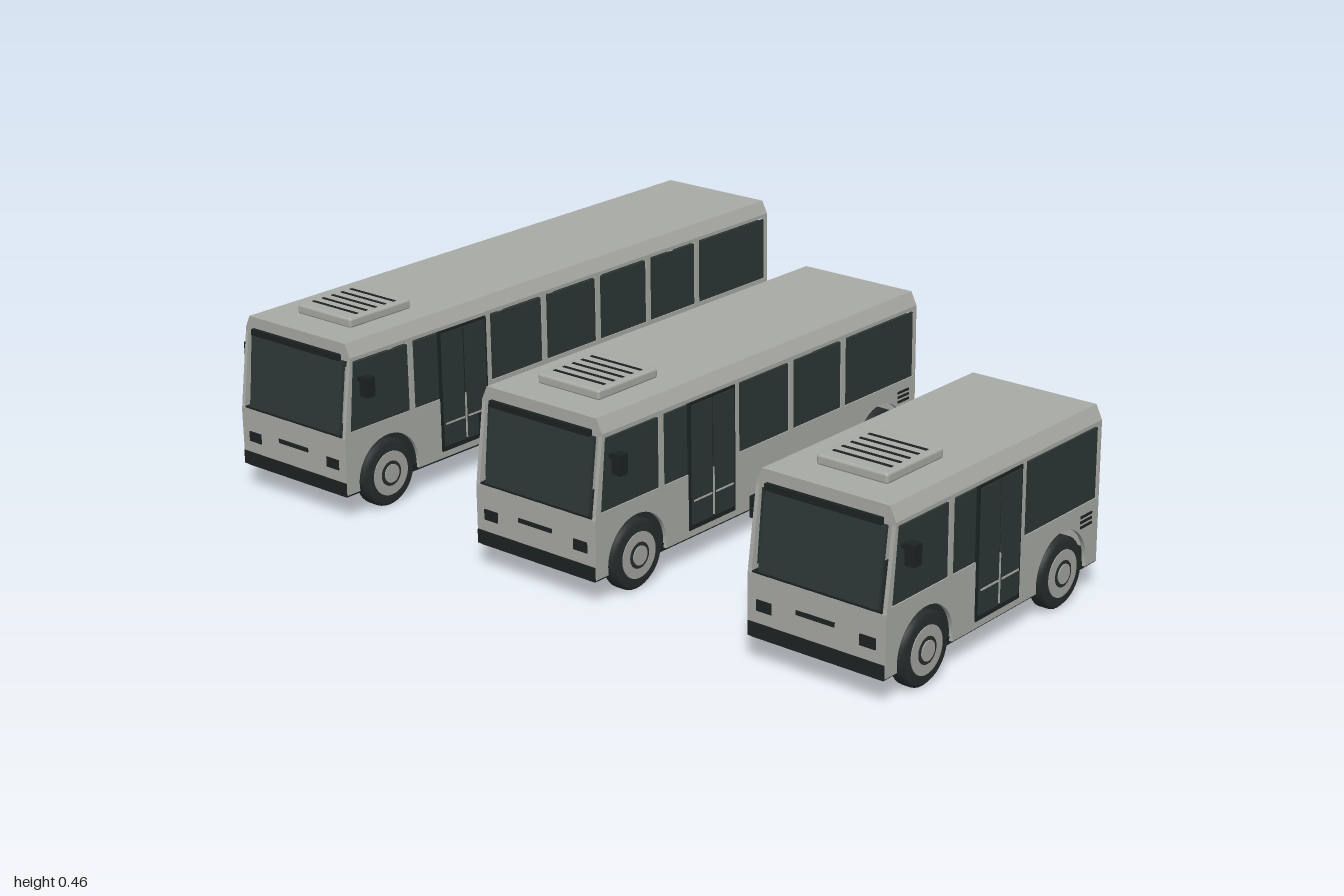
import * as THREE from 'three';
import { RoundedBoxGeometry } from 'three/addons/geometries/RoundedBoxGeometry.js';

const mat = (name, color, side = THREE.FrontSide) => {
  const m = new THREE.MeshStandardMaterial({ color, side });
  m.name = name;
  return m;
};

export function createModel() {
  const paint = mat('bodyGrey', 0xa8aaa5);
  const glass = mat('darkGlass', 0x2d3736);
  const black = mat('blackTrim', 0x1c2222);
  const tyreMat = mat('tyreRubber', 0x262c2c);
  const rimMat = mat('rimGrey', 0xa3a59f);

  const add = (parent, name, geo, material) => {
    const mesh = new THREE.Mesh(geo, material);
    mesh.name = name;
    parent.add(mesh);
    return mesh;
  };
  // Box given by its minimum and maximum on each axis
  const box = (parent, name, material, x0, x1, y0, y1, z0, z1) => {
    const mesh = add(parent, name, new THREE.BoxGeometry(x1 - x0, y1 - y0, z1 - z0), material);
    mesh.position.set((x0 + x1) / 2, (y0 + y1) / 2, (z0 + z1) / 2);
    return mesh;
  };
  // Outline in x,y extruded along z
  const plate = (parent, name, material, pts, z0, z1) => {
    const shape = new THREE.Shape(pts.map(p => new THREE.Vector2(...p)));
    const geo = new THREE.ExtrudeGeometry(shape, { depth: z1 - z0, bevelEnabled: false });
    geo.translate(0, 0, z0);
    return add(parent, name, geo, material);
  };
  const disc = (parent, name, material, r, z0, z1) => {
    const geo = new THREE.CylinderGeometry(r, r, z1 - z0, 32).rotateX(Math.PI / 2);
    geo.translate(0, 0, (z0 + z1) / 2);
    return add(parent, name, geo, material);
  };

  const WHEEL_Y = 0.083, FRONT = -0.785, AXLE = -0.648;

  function makeWheel(x, s) {
    const wheel = new THREE.Group();
    wheel.name = 'wheel';
    const profile = [[0.001, -0.02], [0.074, -0.02], [0.083, -0.012], [0.083, 0.012], [0.074, 0.02], [0.001, 0.02]];
    const tyre = new THREE.LatheGeometry(profile.map(p => new THREE.Vector2(...p)), 36);
    add(wheel, 'tyre', tyre.rotateX(Math.PI / 2), tyreMat);
    disc(wheel, 'rim', rimMat, 0.055, 0.015, 0.022);
    disc(wheel, 'rimRecess', tyreMat, 0.031, 0.02, 0.0235);
    disc(wheel, 'hubCap', rimMat, 0.023, 0.02, 0.026);
    wheel.position.set(x, WHEEL_Y, s * 0.163);
    if (s < 0) wheel.rotation.y = Math.PI;
    return wheel;
  }

  // Lower side panel with two wheel arches
  function sidePanel(end, rearAxle) {
    const bottom = 0.066, r = 0.098;
    const a = Math.asin((bottom - WHEEL_Y) / r), c = r * Math.cos(a);
    const s = new THREE.Shape();
    s.moveTo(FRONT, bottom);
    for (const x of [AXLE, rearAxle]) {
      s.lineTo(x - c, bottom);
      s.absarc(x, WHEEL_Y, r, Math.PI - a, a, true);
    }
    s.lineTo(end, bottom);
    s.lineTo(end, 0.219);
    s.lineTo(FRONT + 0.004, 0.219);
    s.lineTo(FRONT, 0.205);
    s.closePath();
    return new THREE.ExtrudeGeometry(s, { depth: 0.01, bevelEnabled: false, curveSegments: 24 });
  }

  function makeBus(name, end, pillars) {
    const bus = new THREE.Group();
    bus.name = name;
    const rearAxle = end - 0.142;

    // Floor, bumpers and end panels
    box(bus, 'floor', black, FRONT + 0.004, end - 0.004, 0.058, 0.076, -0.172, 0.172);
    box(bus, 'frontBumper', black, FRONT - 0.003, FRONT + 0.02, 0.063, 0.096, -0.178, 0.178);
    box(bus, 'rearBumper', black, end - 0.02, end + 0.002, 0.063, 0.096, -0.178, 0.178);
    box(bus, 'frontPanel', paint, FRONT, FRONT + 0.01, 0.09, 0.207, -0.172, 0.172);
    box(bus, 'rearPanel', paint, end - 0.012, end, 0.09, 0.212, -0.172, 0.172);
    box(bus, 'dashLedge', black, FRONT + 0.001, FRONT + 0.04, 0.205, 0.211, -0.168, 0.168);

    // Roof with chamfered long edges
    const roofPts = [[-0.18, 0.391], [0.18, 0.391], [0.18, 0.4], [0.164, 0.433], [-0.164, 0.433], [-0.18, 0.4]];
    const roof = new THREE.ExtrudeGeometry(
      new THREE.Shape(roofPts.map(p => new THREE.Vector2(...p))), { depth: end + 0.757, bevelEnabled: false });
    add(bus, 'roof', roof.rotateY(Math.PI / 2).translate(-0.757, 0, 0), paint);
    box(bus, 'frontRoofTrim', black, -0.767, -0.757, 0.39, 0.405, -0.15, 0.15);

    // Roof air unit with dark slots
    const unit = add(bus, 'roofUnit', new RoundedBoxGeometry(0.198, 0.026, 0.184, 2, 0.007), paint);
    unit.position.set(-0.57, 0.443, 0);
    for (let i = 0; i < 5; i++) {
      const x = -0.631 + i * 0.0305;
      box(bus, 'roofSlot', black, x - 0.004, x + 0.004, 0.452, 0.4575, -0.076, 0.076);
    }

    // Windscreen and rear window
    plate(bus, 'windscreen', glass,
      [[-0.781, 0.211], [-0.772, 0.211], [-0.748, 0.39], [-0.757, 0.39]], -0.155, 0.155);
    box(bus, 'rearWindow', glass, end - 0.012, end - 0.003, 0.214, 0.386, -0.151, 0.151);

    for (const s of [1, -1]) {
      const side = new THREE.Group();
      side.name = s > 0 ? 'doorSide' : 'plainSide';
      bus.add(side);
      // Slab on this side between two distances from the middle
      const slab = (n, m, x0, x1, y0, y1, za, zb) =>
        box(side, n, m, x0, x1, y0, y1, Math.min(s * za, s * zb), Math.max(s * za, s * zb));

      add(side, 'sidePanel', sidePanel(end, rearAxle), paint).position.z = s > 0 ? 0.17 : -0.18;
      for (const x of [AXLE, rearAxle]) bus.add(makeWheel(x, s));

      // Pillars
      const z0 = s > 0 ? 0.17 : -0.18;
      plate(side, 'frontPillar', paint,
        [[-0.783, 0.215], [-0.766, 0.215], [-0.748, 0.393], [-0.757, 0.393]], z0, z0 + 0.01);
      slab('rearPillar', paint, end - 0.006, end, 0.215, 0.393, 0.168, 0.18);
      for (const x of pillars) slab('pillar', paint, x - 0.008, x + 0.008, 0.215, 0.393, 0.169, 0.18);

      // Side windows between the pillars
      const edges = [...pillars, end - 0.002];
      plate(side, 'frontSideWindow', glass,
        [[-0.764, 0.219], [-0.571, 0.219], [-0.571, 0.385], [-0.747, 0.385]],
        s > 0 ? 0.171 : -0.177, s > 0 ? 0.177 : -0.171);
      for (let i = 0; i < pillars.length; i++) {
        slab('sideWindow', glass, edges[i] + 0.009, edges[i + 1] - 0.009, 0.219, 0.385, 0.171, 0.177);
      }

      // Engine vents near the rear
      for (let i = 0; i < 3; i++) {
        const y = 0.164 + i * 0.012;
        slab('vent', black, end - 0.072, end - 0.027, y, y + 0.006, 0.179, 0.182);
      }

      // Mirror on an arm
      slab('mirrorArm', black, -0.735, -0.72, 0.338, 0.348, 0.175, 0.195);
      slab('mirror', black, -0.738, -0.712, 0.304, 0.352, 0.188, 0.213);

      // Lamps
      box(side, 'headlamp', black, FRONT - 0.003, FRONT + 0.002, 0.125, 0.15, s * 0.135 - 0.02, s * 0.135 + 0.02);
      box(side, 'tailLamp', black, end - 0.002, end + 0.003, 0.125, 0.16, s * 0.155 - 0.007, s * 0.155 + 0.007);
    }
    box(bus, 'frontGrille', black, FRONT - 0.003, FRONT + 0.002, 0.145, 0.155, -0.05, 0.05);
    box(bus, 'rearHandle', black, end - 0.002, end + 0.002, 0.155, 0.165, -0.03, 0.03);

    // Double door
    const door = new THREE.Group();
    door.name = 'door';
    bus.add(door);
    box(door, 'doorFrame', black, -0.472, -0.31, 0.083, 0.391, 0.176, 0.183);
    for (const x of [-0.465, -0.388]) {
      box(door, 'doorLeaf', glass, x, x + 0.071, 0.096, 0.384, 0.18, 0.186);
      box(door, 'doorRail', paint, x + 0.004, x + 0.067, 0.152, 0.156, 0.184, 0.188);
    }
    box(door, 'doorSeam', paint, -0.3935, -0.3885, 0.1, 0.215, 0.184, 0.187);
    return bus;
  }

  // Three lengths parked side by side
  const model = new THREE.Group();
  model.name = 'busFleet';
  const base = [-0.563, -0.3];
  const fleet = [
    ['shortBus', 0, 0.787, base],
    ['mediumBus', 0.393, 0, [...base, -0.1, 0.1]],
    ['longBus', 0.785, -0.787, [...base, -0.1, 0.1, 0.295, 0.49]],
  ];
  for (const [name, end, z, pillars] of fleet) {
    const bus = makeBus(name, end, pillars);
    bus.position.z = z;
    model.add(bus);
  }
  return model;
}
